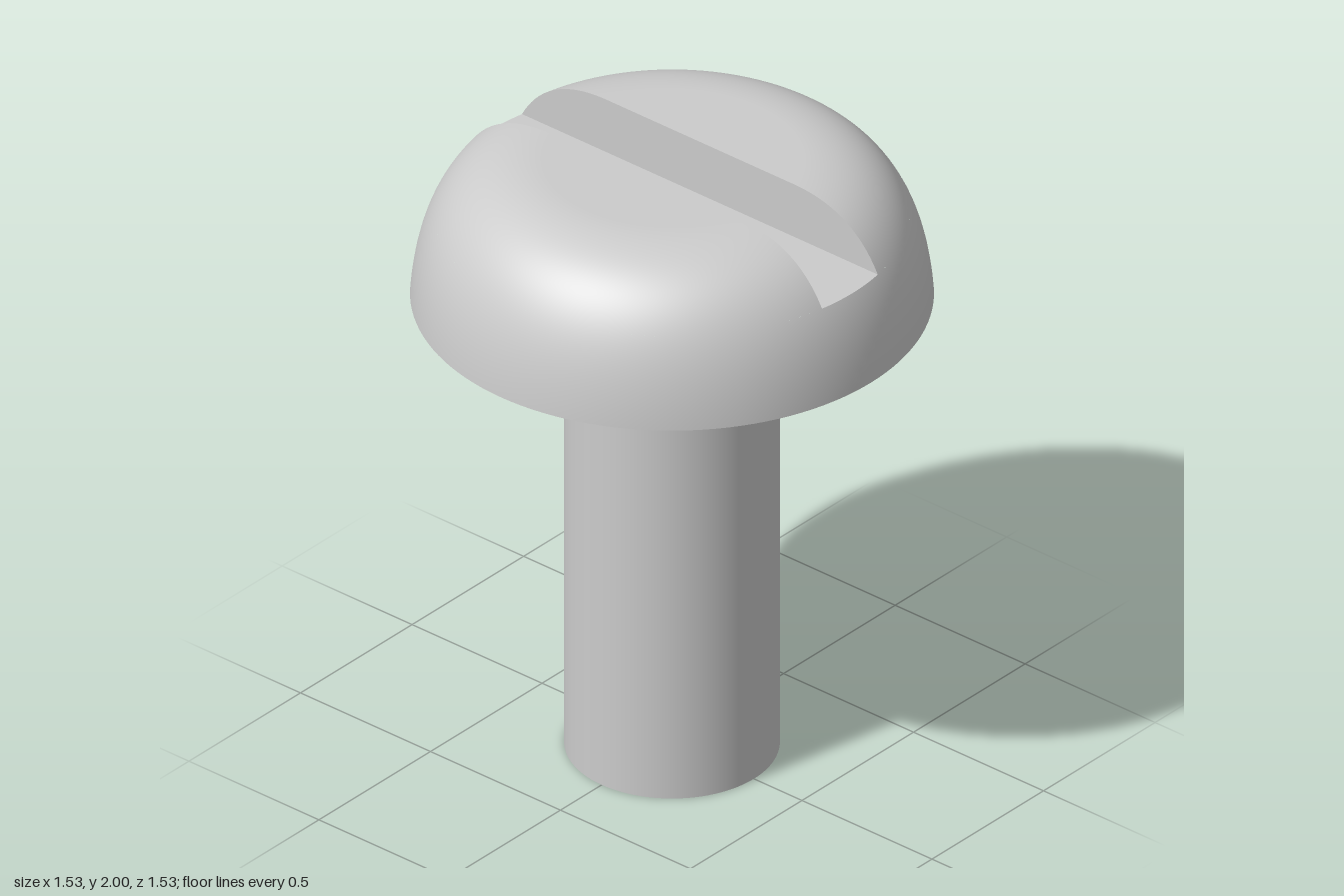
import * as THREE from 'three';
import { ParametricGeometry } from 'three/addons/geometries/ParametricGeometry.js';

const HEAD_BASE = 1.54, SLOT_FLOOR = 1.82, TOP = 2;
const SHANK_R = 0.315, HEAD_R = 0.765, TOP_R = 0.38;
const SLOT_HALF = 0.125;

// Side profile of the head: x is the radius, y the height
const profile = new THREE.CubicBezierCurve(
  new THREE.Vector2(HEAD_R, HEAD_BASE),
  new THREE.Vector2(0.745, 1.8),
  new THREE.Vector2(0.65, TOP),
  new THREE.Vector2(TOP_R, TOP)
);

// Curve parameter at which the profile reaches a height
function paramAtHeight(y) {
  let lo = 0, hi = 1;
  for (let i = 0; i < 40; i++) {
    const mid = (lo + hi) / 2;
    if (profile.getPoint(mid).y < y) lo = mid; else hi = mid;
  }
  return lo;
}

// Angle at which a circle of radius r meets the slot wall
const slotAngle = (r) => Math.asin(SLOT_HALF / r);

// Revolved band of the profile; with a slot it covers only the half behind it
function domeBand(t0, t1, slotted, slices, stacks) {
  return new ParametricGeometry((u, v, target) => {
    const p = profile.getPoint(t0 + (t1 - t0) * v);
    const start = slotted ? slotAngle(p.x) : 0;
    const end = slotted ? Math.PI - start : Math.PI * 2;
    const a = start + (end - start) * u;
    target.set(p.x * Math.cos(a), p.y, -p.x * Math.sin(a));
  }, slices, stacks);
}

export function createModel() {
  const model = new THREE.Group();
  const material = new THREE.MeshStandardMaterial({ color: 0xcccccc });
  const add = (parent, name, geometry) => {
    const mesh = new THREE.Mesh(geometry, material);
    mesh.name = name;
    parent.add(mesh);
    return mesh;
  };

  // Shank
  add(model, 'shank', new THREE.CylinderGeometry(SHANK_R, SHANK_R, HEAD_BASE, 96, 1, true)
    .translate(0, HEAD_BASE / 2, 0));
  add(model, 'shankEnd', new THREE.CircleGeometry(SHANK_R, 96).rotateX(Math.PI / 2));

  // Head below the slot
  const head = new THREE.Group();
  head.name = 'head';
  model.add(head);
  const tSlot = paramAtHeight(SLOT_FLOOR);
  add(head, 'headUnderside', new THREE.RingGeometry(SHANK_R, HEAD_R, 128)
    .rotateX(Math.PI / 2).translate(0, HEAD_BASE, 0));
  add(head, 'headRim', domeBand(0, tSlot, false, 128, 16));

  // Slot floor with rounded ends
  const floorR = profile.getPoint(tSlot).x;
  const b = slotAngle(floorR);
  const floor = new THREE.Shape();
  floor.absarc(0, 0, floorR, -b, b, false);
  floor.absarc(0, 0, floorR, Math.PI - b, Math.PI + b, false);
  floor.closePath();
  add(head, 'slotFloor', new THREE.ShapeGeometry(floor, 12)
    .rotateX(-Math.PI / 2).translate(0, SLOT_FLOOR, 0));

  // Flat top of one half
  const c = slotAngle(TOP_R);
  const top = new THREE.Shape();
  top.absarc(0, 0, TOP_R, c, Math.PI - c, false);
  top.closePath();
  const topGeometry = new THREE.ShapeGeometry(top, 64)
    .rotateX(-Math.PI / 2).translate(0, TOP, 0);

  // Slot wall follows the dome where the slot cuts it
  const right = [];
  for (let i = 0; i <= 28; i++) {
    const p = profile.getPoint(tSlot + (1 - tSlot) * i / 28);
    right.push(new THREE.Vector2(Math.sqrt(p.x ** 2 - SLOT_HALF ** 2), p.y));
  }
  const left = right.map((p) => new THREE.Vector2(-p.x, p.y)).reverse();
  const wallGeometry = new THREE.ShapeGeometry(new THREE.Shape([...right, ...left]))
    .translate(0, 0, -SLOT_HALF);

  // Two matching halves on either side of the slot
  const domeGeometry = domeBand(tSlot, 1, true, 64, 28);
  for (const [name, turn] of [['backHalf', 0], ['frontHalf', Math.PI]]) {
    const half = new THREE.Group();
    half.name = name;
    half.rotation.y = turn;
    add(half, 'dome', domeGeometry);
    add(half, 'flatTop', topGeometry);
    add(half, 'slotWall', wallGeometry);
    head.add(half);
  }

  return model;
}
